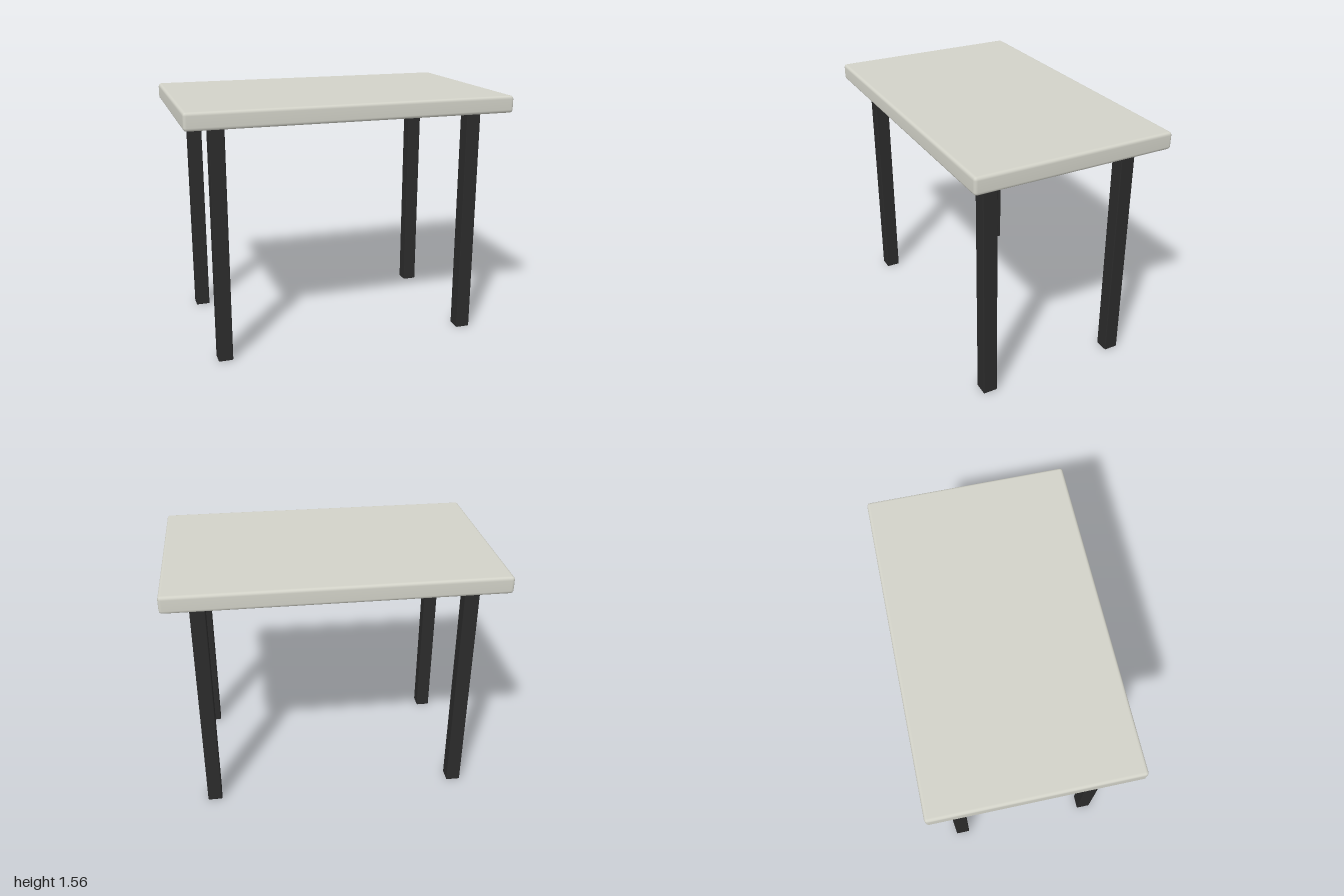
import * as THREE from 'three';
import { RoundedBoxGeometry } from 'three/addons/geometries/RoundedBoxGeometry.js';
import { mergeVertices } from 'three/addons/utils/BufferGeometryUtils.js';

const TOP_Y = 1.56, TOP_THICKNESS = 0.105;
const LEG_HEIGHT = TOP_Y - TOP_THICKNESS;

// Rounded box whose normals blend softly across the edges
function softBox(w, h, d, radius) {
  const geometry = new RoundedBoxGeometry(w, h, d, 2, radius);
  geometry.deleteAttribute('normal');
  geometry.deleteAttribute('uv');
  const merged = mergeVertices(geometry, 1e-5);
  merged.computeVertexNormals();
  return merged;
}

export function createModel() {
  const table = new THREE.Group();
  table.name = 'table';

  const stone = new THREE.MeshStandardMaterial({ color: 0xd2d2c8 });
  stone.name = 'pale stone';
  const black = new THREE.MeshStandardMaterial({ color: 0x2b2b2b });
  black.name = 'black';

  // Thick tabletop with eased edges
  const top = new THREE.Mesh(softBox(2, TOP_THICKNESS, 1.235, 0.02), stone);
  top.name = 'tabletop';
  top.position.y = TOP_Y - TOP_THICKNESS / 2;
  table.add(top);

  // Four square legs, set in from the corners
  const legGeometry = new RoundedBoxGeometry(0.09, LEG_HEIGHT, 0.09, 1, 0.005);
  for (const [side, x] of [['Left', 0.8], ['Right', -0.8]]) {
    for (const [end, z] of [['front', 0.446], ['back', -0.446]]) {
      const leg = new THREE.Mesh(legGeometry, black);
      leg.name = `${end}${side}Leg`;
      leg.position.set(x, LEG_HEIGHT / 2, z);
      table.add(leg);
    }
  }
  return table;
}
